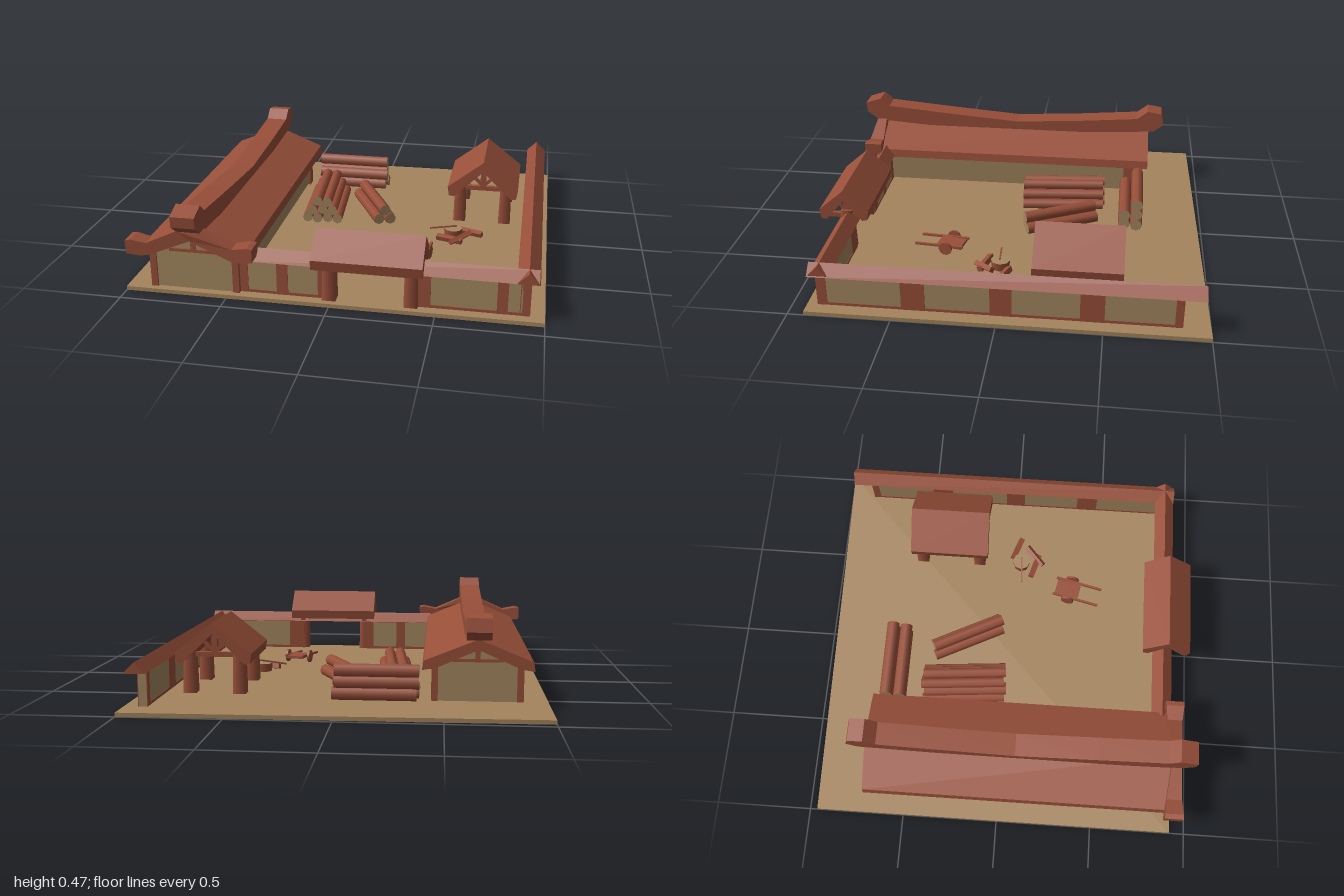
import * as THREE from 'three';

const mat = (name, color) => {
  const m = new THREE.MeshStandardMaterial({ color });
  m.name = name;
  return m;
};

export function createModel() {
  const root = new THREE.Group();
  root.name = 'walledTimberYard';
  const red = mat('redTimber', 0x984f39);
  const earth = mat('packedEarth', 0xa5855d);
  const plaster = mat('plaster', 0xa58860);

  const add = (geo, material, name, parent = root) => {
    const m = new THREE.Mesh(geo, material);
    m.name = name;
    parent.add(m);
    return m;
  };
  // Box given by its limits on each axis
  const box = (x0, x1, y0, y1, z0, z1, material, name, parent) =>
    add(new THREE.BoxGeometry(x1 - x0, y1 - y0, z1 - z0)
      .translate((x0 + x1) / 2, (y0 + y1) / 2, (z0 + z1) / 2), material, name, parent);
  const prism = (pts, depth) => new THREE.ExtrudeGeometry(
    new THREE.Shape(pts.map(p => new THREE.Vector2(p[0], p[1]))), { depth, bevelEnabled: false });
  // Square beam between two points
  const beam = (a, b, w, name, parent) => {
    const p = new THREE.Vector3(...a), q = new THREE.Vector3(...b);
    const m = add(new THREE.BoxGeometry(w, p.distanceTo(q), w), red, name, parent);
    m.position.copy(p).add(q).multiplyScalar(0.5);
    m.quaternion.setFromUnitVectors(new THREE.Vector3(0, 1, 0), q.sub(p).normalize());
    return m;
  };

  // Ground slab with a slightly skewed back edge
  add(prism([[-1, -0.92], [1, -0.92], [1, 1], [-1, 0.96]], 0.02).rotateX(-Math.PI / 2), earth, 'ground');

  // ---- Long hall on the right-hand side of the yard
  const hall = new THREE.Group();
  hall.name = 'hall';
  hall.position.x = -0.66;
  root.add(hall);
  add(prism([[-0.205, 0.02], [0.205, 0.02], [0.213, 0.215], [0, 0.305], [-0.213, 0.215]], 1.5)
    .translate(0, 0, -0.62), plaster, 'hallWalls', hall);
  add(prism([[-0.265, 0.185], [-0.2, 0.195], [0, 0.285], [0.2, 0.195], [0.265, 0.185],
    [0.258, 0.23], [0, 0.335], [-0.258, 0.23]], 1.58).translate(0, 0, -0.7), red, 'hallRoof', hall);
  for (const s of [-1, 1]) {
    for (const z of [-0.595, 0.86]) {
      box(s * 0.205 - 0.016, s * 0.205 + 0.016, 0.02, 0.205, z - 0.03, z + 0.03, red, 'hallCornerPost', hall);
    }
  }
  for (const z of [-0.624, 0.884]) {
    box(-0.12, 0.12, 0.213, 0.228, z - 0.004, z + 0.004, red, 'gableTie', hall);
    box(-0.012, 0.012, 0.228, 0.3, z - 0.004, z + 0.004, red, 'gableKingPost', hall);
  }
  // Upswept ridge: side profile in z and y
  const ridge = [[1, 0.44], [0.91, 0.47], [0.86, 0.425], [0.5, 0.393], [0.08, 0.36], [-0.3, 0.383],
    [-0.63, 0.41], [-0.69, 0.458], [-0.77, 0.445], [-0.785, 0.38], [-0.73, 0.335], [-0.5, 0.32],
    [0.05, 0.29], [0.6, 0.31], [0.93, 0.335], [0.995, 0.385]];
  add(prism(ridge.map(([z, y]) => [-z, y]), 0.117).rotateY(Math.PI / 2).translate(-0.0585, 0, 0),
    red, 'hallRidge', hall);
  // Bargeboard with upturned tips that widen outward
  const half = [[0.06, 0.34], [0.21, 0.272], [0.285, 0.287], [0.31, 0.282], [0.308, 0.215], [0.24, 0.206], [0.2, 0.212]];
  const barge = prism([[0, 0.29], ...half.slice().reverse(), ...half.map(([x, y]) => [-x, y])], 1);
  const bp = barge.attributes.position;
  for (let i = 0; i < bp.count; i++) {
    const w = 0.022 + 0.085 * Math.abs(bp.getX(i));
    bp.setZ(i, 0.907 + (bp.getZ(i) > 0.5 ? w : -w));
  }
  barge.computeVertexNormals();
  add(barge, red, 'hallBargeboard', hall);

  // ---- Yard walls: each runs along local x, with posts as [from, to]
  const wall = (name, x0, x1, posts) => {
    const g = new THREE.Group();
    g.name = name;
    root.add(g);
    box(x0, x1, 0.02, 0.21, -0.02, 0.02, plaster, 'wallPanel', g);
    for (const [a, b] of posts) box(a, b, 0.02, 0.205, -0.024, 0.024, red, 'wallPost', g);
    box(x0, x1, 0.188, 0.205, -0.023, 0.023, red, 'wallTopRail', g);
    box(x0, x1, 0.02, 0.034, -0.023, 0.023, red, 'wallFootRail', g);
    return g;
  };
  const coping = [[-0.053, 0.195], [0.053, 0.195], [0, 0.247]];
  wall('frontWallRight', -0.45, 0, [[-0.45, -0.4], [-0.26, -0.205], [-0.06, 0]]).position.z = 0.845;
  wall('frontWallLeft', 0.38, 0.93, [[0.38, 0.475], [0.78, 0.83], [0.895, 0.93]]).position.z = 0.845;
  const side = wall('sideWall', -0.868, 0.868,
    [[-0.868, -0.82], [-0.46, -0.345], [-0.035, 0.07], [0.39, 0.505], [0.83, 0.868]]);
  side.rotation.y = Math.PI / 2;
  side.position.x = 0.908;
  add(prism(coping, 1.385).rotateY(Math.PI / 2).translate(-0.42, 0, 0.845), red, 'frontWallCoping');
  add(prism(coping, 1.863).translate(0.917, 0, -0.965), red, 'sideWallCoping');

  // ---- Open gabled roof on posts, ridge along local z
  const canopy = (name, span, len, eave, postX, postZ) => {
    const g = new THREE.Group();
    g.name = name;
    root.add(g);
    const top = 0.38, inX = span - 0.035, low = eave - 0.05;
    add(prism([[-span, eave], [-span + 0.008, low], [-inX, low - 0.004], [0, 0.325], [inX, low - 0.004],
      [span - 0.008, low], [span, eave], [0, top]], len).translate(0, 0, -len / 2), red, 'canopyRoof', g);
    for (const sz of [-1, 1]) {
      const z = sz * postZ;
      for (const x of postX) {
        const leg = new THREE.CylinderGeometry(0.04, 0.046, 0.23, 4, 1).rotateY(Math.PI / 4).translate(x, 0.135, z);
        add(leg, red, 'canopyPost', g);
      }
      beam([-span * 0.72, 0.215, z], [span * 0.72, 0.215, z], 0.024, 'tieBeam', g);
      beam([0, 0.21, z], [0, 0.345, z], 0.03, 'kingPost', g);
      for (const s of [-1, 1]) beam([0, 0.225, z], [s * span * 0.36, 0.295, z], 0.016, 'strut', g);
    }
    return g;
  };
  const gate = canopy('gate', 0.128, 0.515, 0.27, [0], 0.194);
  gate.rotation.y = Math.PI / 2;
  gate.position.set(0.19, 0, 0.858);
  canopy('shelter', 0.193, 0.435, 0.228, [-0.125, 0.125], 0.165).position.set(0.638, 0, -0.368);

  // ---- Stacked logs: rows of centre offsets, lying along local z
  const pile = (name, x, z, turn, r, len, rows) => {
    const g = new THREE.Group();
    g.name = name;
    g.position.set(x, 0.02 + r, z);
    g.rotation.y = turn;
    root.add(g);
    const geo = new THREE.CylinderGeometry(r, r, len, 8).rotateX(Math.PI / 2);
    rows.forEach((row, j) => row.forEach((u, i) => {
      const log = add(geo, [red, plaster, plaster], 'log', g);
      log.position.set(u * r, j * r * 1.73, ((i + j) % 2 ? 1 : -1) * 0.006);
    }));
  };
  pile('largeLogPile', -0.255, -0.23, 0.085, 0.028, 0.45, [[-3, -1, 1, 3], [-2, 0, 2], [-1, 1]]);
  pile('smallLogPile', 0.019, -0.232, 0.464, 0.031, 0.41, [[-1, 1], [0]]);
  pile('backLogPile', -0.17, -0.612, Math.PI / 2, 0.033, 0.41, [[-1, 1], [-1, 1], [1]]);

  // ---- Handcart
  const cart = new THREE.Group();
  cart.name = 'handcart';
  cart.position.set(0.345, 0, 0.32);
  cart.rotation.y = -0.2;
  root.add(cart);
  box(-0.05, 0.05, 0.052, 0.066, -0.07, 0.065, red, 'cartBed', cart);
  for (const s of [-1, 1]) {
    beam([s * 0.05, 0.068, -0.08], [s * 0.05, 0.05, 0.185], 0.012, 'cartShaft', cart);
    add(new THREE.CylinderGeometry(0.036, 0.036, 0.012, 10).rotateZ(Math.PI / 2)
      .translate(s * 0.066, 0.056, 0.01), red, 'cartWheel', cart);
  }

  // ---- Chopping block with hewn logs and a pole around it
  add(new THREE.CylinderGeometry(0.05, 0.045, 0.045, 8).translate(0.5, 0.043, 0.04), [red, plaster, plaster], 'choppingBlock');
  beam([0.53, 0.035, -0.01], [0.655, 0.035, 0.035], 0.028, 'hewnLog');
  beam([0.42, 0.035, 0.1], [0.555, 0.035, 0.14], 0.028, 'hewnLog');
  beam([0.495, 0.035, 0.165], [0.595, 0.06, 0.07], 0.026, 'hewnLog');
  beam([0.375, 0.06, 0.05], [0.52, 0.08, 0.04], 0.008, 'pole');

  return root;
}
